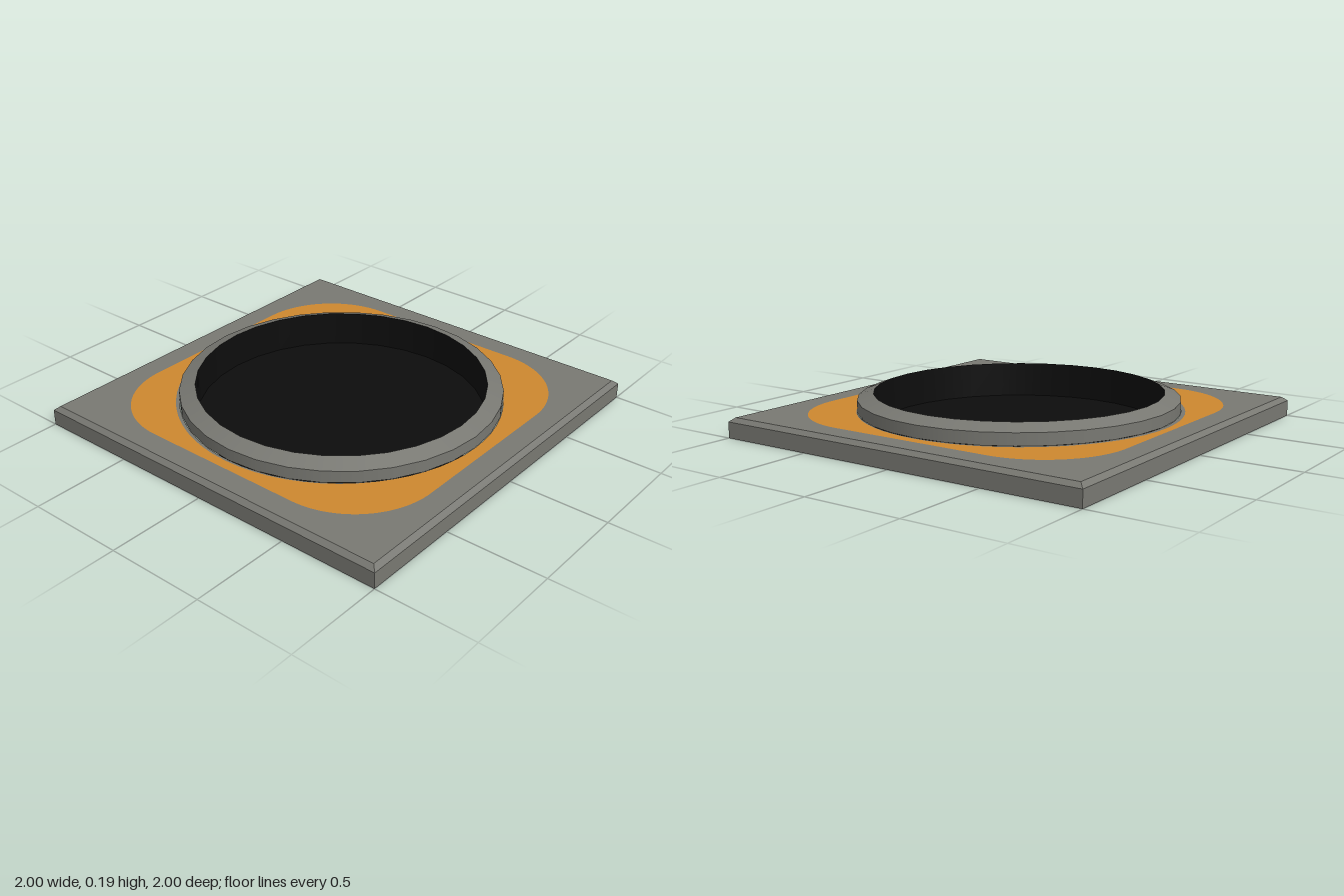
import * as THREE from 'three';

const SIDES = 32;
const SHEET_Y = 0.1;

export function createModel() {
  const model = new THREE.Group();
  const material = (name, color) =>
    new THREE.MeshStandardMaterial({ name, color, side: THREE.DoubleSide });
  const grey = material('plate grey', 0x787872);
  const orange = material('marking orange', 0xcd872f);
  const black = material('well black', 0x0d0d0d);

  const add = (name, geometry, mat, y = 0) => {
    const mesh = new THREE.Mesh(geometry, mat);
    mesh.name = name;
    mesh.position.y = y;
    model.add(mesh);
    return mesh;
  };

  // Open four-sided band with hard edges, given half widths
  const squareBand = (top, bottom, height) => {
    const g = new THREE.CylinderGeometry(top * Math.SQRT2, bottom * Math.SQRT2, height, 4, 1, true, Math.PI / 4)
      .toNonIndexed();
    g.computeVertexNormals();
    return g;
  };
  // Round band between two [radius, height] points
  const roundBand = (...points) =>
    new THREE.LatheGeometry(points.map(([r, y]) => new THREE.Vector2(r, y)), SIDES);

  // Plate rim and bevel, open underneath
  add('plateRim', squareBand(1, 1, 0.08), grey, 0.04);
  add('plateBevel', squareBand(0.975, 1, 0.02), grey, 0.09);

  // Outlines for the flat top of the plate
  const square = (h) => new THREE.Shape([[-h, -h], [h, -h], [h, h], [-h, h]].map((p) => new THREE.Vector2(...p)));
  const circle = (r, y = 0) => new THREE.Shape().absarc(0, y, r, 0, Math.PI * 2, false);
  const roundedSquare = (h, r) => {
    const c = h - r;
    const s = new THREE.Shape();
    [[c, c], [-c, c], [-c, -c], [c, -c]].forEach(([x, y], i) =>
      s.absarc(x, y, r, i * Math.PI / 2, (i + 1) * Math.PI / 2, false));
    return s.closePath();
  };
  const sheet = (name, outline, hole, mat) => {
    outline.holes.push(hole);
    add(name, new THREE.ShapeGeometry(outline, SIDES).rotateX(-Math.PI / 2), mat, SHEET_Y);
  };

  // Plate top, orange marking and the thin grey gap around the collar
  sheet('plateTop', square(0.975), roundedSquare(0.86, 0.43), grey);
  sheet('orangeMarking', roundedSquare(0.86, 0.43), circle(0.812, 0.01), orange);
  sheet('collarGap', circle(0.812, 0.01), circle(0.8), grey);

  // Raised round collar with a sloping lip
  add('collarWall', roundBand([0.8, SHEET_Y], [0.8, 0.16]), grey);
  add('collarLip', roundBand([0.8, 0.16], [0.72, 0.19]), grey);

  // Dark well sunk through the plate
  add('wellWall', roundBand([0.72, 0.01], [0.72, 0.19]), black);
  add('wellFloor', new THREE.CircleGeometry(0.72, SIDES).rotateX(-Math.PI / 2), black, 0.01);

  return model;
}
